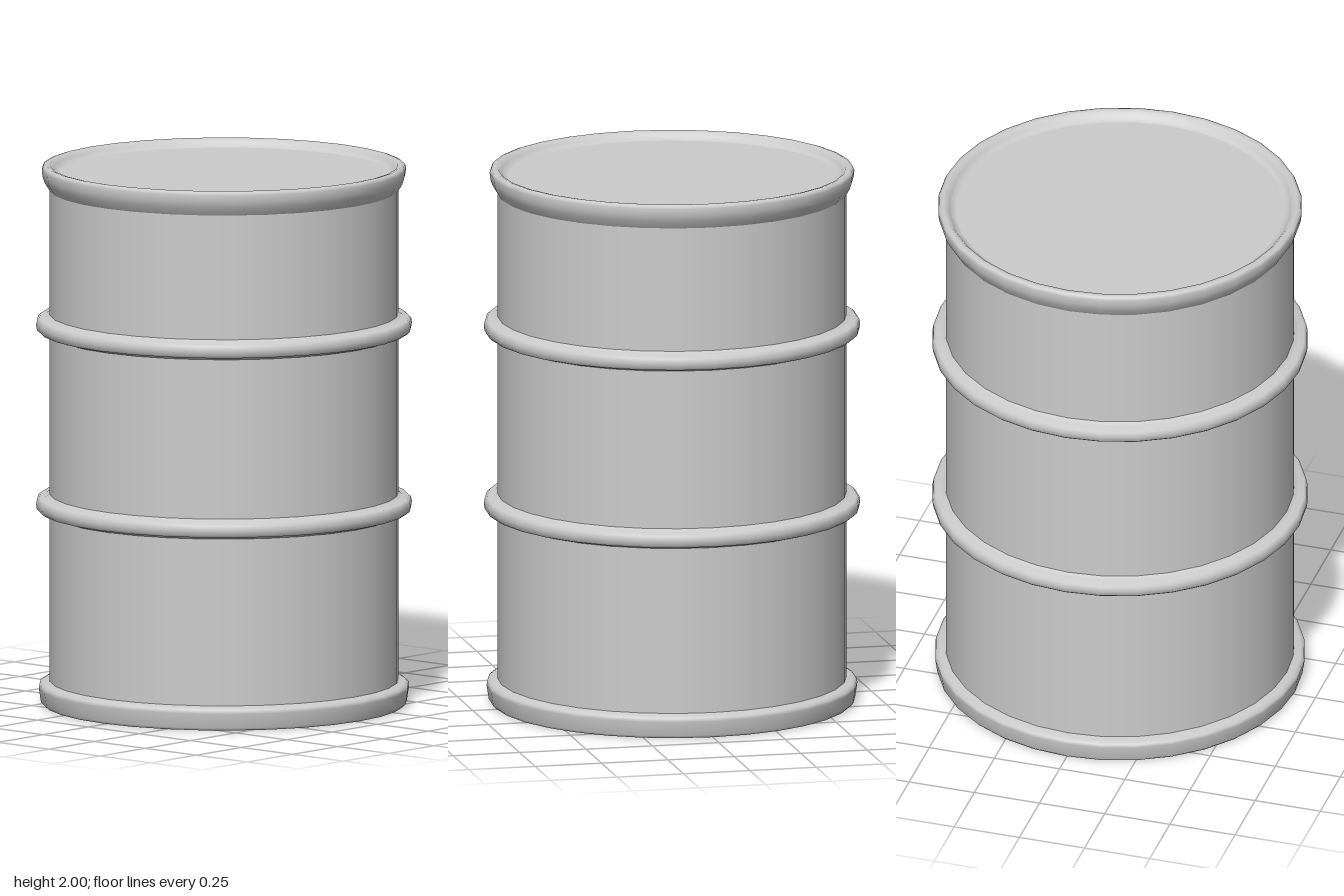
import * as THREE from 'three';

const SIDES = 32;
const BODY_R = 0.64;

export function createModel() {
  const drum = new THREE.Group();
  drum.name = 'drum';
  const material = new THREE.MeshStandardMaterial({ color: 0xcccccc });

  // Profiles are [radius, height] pairs, listed so the surface faces outward.
  function addLathe(name, profile, y = 0) {
    const points = profile.map(([r, h]) => new THREE.Vector2(r, h));
    const mesh = new THREE.Mesh(new THREE.LatheGeometry(points, SIDES), material);
    mesh.name = name;
    mesh.position.y = y;
    drum.add(mesh);
  }

  // Plain cylindrical wall
  addLathe('wall', [[BODY_R, 0.06], [BODY_R, 1.94]]);

  // Recessed floor, flat up to the foot of the rim
  addLathe('floor', [[0, 0.03], [0.615, 0.03]]);

  // Bottom rim, wrapping from the floor round to the wall
  addLathe('bottomRim', [
    [0.61, 0.03], [0.622, 0.025], [0.632, 0.006], [0.642, 0], [0.662, 0.002],
    [0.672, 0.012], [0.68, 0.065], [0.678, 0.078], [0.665, 0.085], [0.638, 0.09],
  ]);

  // Two rolling hoops with rounded outer edges
  const hoop = [
    [0.638, -0.038], [0.648, -0.034], [0.656, -0.028], [0.678, -0.026], [0.687, -0.018],
    [0.69, 0], [0.687, 0.017], [0.678, 0.025], [0.656, 0.028], [0.648, 0.033], [0.638, 0.038],
  ];
  addLathe('lowerHoop', hoop, 0.745);
  addLathe('upperHoop', hoop, 1.41);

  // Top rim, flaring out of the wall and curling in to the lid
  addLathe('topRim', [
    [0.638, 1.905], [0.645, 1.915], [0.66, 1.94], [0.666, 1.96], [0.669, 1.985],
    [0.664, 1.996], [0.652, 2], [0.638, 1.997], [0.627, 1.985], [0.618, 1.974], [0.605, 1.97],
  ]);

  // Recessed lid
  addLathe('lid', [[0.61, 1.97], [0, 1.97]]);

  return drum;
}
